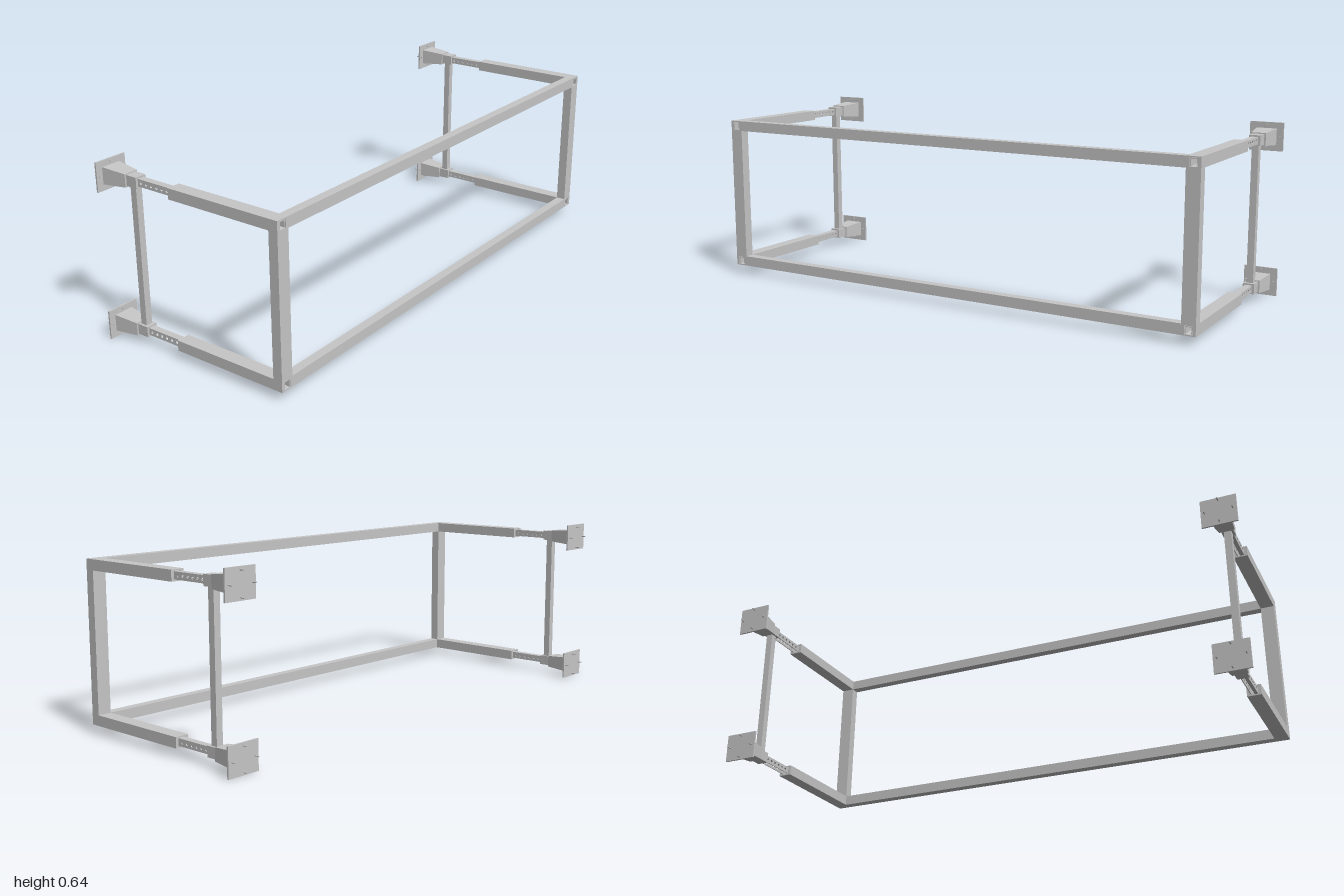
import * as THREE from 'three';

const steel = new THREE.MeshStandardMaterial({ color: 0xc7c7c7 });
steel.name = 'lightGreySteel';

const ARM_X = 0.938, LOW_Y = 0.0535, HIGH_Y = 0.591;
const TUBE_W = 0.05, TUBE_H = 0.038;

function add(parent, name, geometry, x = 0, y = 0, z = 0) {
  const mesh = new THREE.Mesh(geometry, steel);
  mesh.name = name;
  mesh.position.set(x, y, z);
  parent.add(mesh);
  return mesh;
}

const box = (w, h, d) => new THREE.BoxGeometry(w, h, d);

function rectangle(path, w, h) {
  path.moveTo(-w / 2, -h / 2);
  path.lineTo(w / 2, -h / 2);
  path.lineTo(w / 2, h / 2);
  path.lineTo(-w / 2, h / 2);
  path.closePath();
  return path;
}

// Hollow rectangular tube running along z from zBack to zFront
function hollowTube(w, h, innerW, innerH, zBack, zFront) {
  const shape = rectangle(new THREE.Shape(), w, h);
  shape.holes.push(rectangle(new THREE.Path(), innerW, innerH));
  const geometry = new THREE.ExtrudeGeometry(shape, { depth: zFront - zBack, bevelEnabled: false });
  return geometry.translate(0, 0, zBack);
}

// Side wall of the sliding channel, pierced by the adjustment holes
function piercedWall(zBack, zFront, h, thickness) {
  const shape = rectangle(new THREE.Shape(), zFront - zBack, h);
  const mid = (zBack + zFront) / 2;
  for (let i = 0; i < 6; i++) {
    const hole = new THREE.Path();
    hole.absarc(mid - (-0.087 - i * 0.0233), 0, 0.0052, 0, Math.PI * 2, true);
    shape.holes.push(hole);
  }
  const geometry = new THREE.ExtrudeGeometry(shape, { depth: thickness, bevelEnabled: false, curveSegments: 8 });
  return geometry.translate(0, 0, -thickness / 2).rotateY(Math.PI / 2).translate(0, 0, mid);
}

// Box whose back end is widened into a flare
function flare(frontW, frontH, backW, backH, depth) {
  const geometry = box(1, 1, depth);
  const p = geometry.attributes.position;
  for (let i = 0; i < p.count; i++) {
    const front = p.getZ(i) > 0;
    p.setX(i, p.getX(i) * (front ? frontW : backW));
    p.setY(i, p.getY(i) * (front ? frontH : backH));
  }
  geometry.computeVertexNormals();
  return geometry;
}

// One telescopic arm with its wall mount, centred on its own axis
function createArm() {
  const arm = new THREE.Group();
  arm.name = 'telescopicArm';
  add(arm, 'outerTube', hollowTube(TUBE_W, TUBE_H, 0.028, 0.029, -0.07, 0.378));

  // Sliding channel, open below, with a row of holes in each side
  const back = -0.225, front = 0.376, mid = (back + front) / 2;
  for (const s of [-1, 1]) {
    add(arm, 'slidingChannelSide', piercedWall(back, front, 0.026, 0.003), s * 0.011);
  }
  add(arm, 'slidingChannelTop', box(0.019, 0.003, front - back), 0, 0.0115, mid);

  // Sleeve, flared socket and wall plate
  add(arm, 'sleeve', box(0.042, TUBE_H, 0.046), 0, 0, -0.24);
  add(arm, 'flaredSocket', flare(0.054, 0.046, 0.074, 0.06, 0.095), 0, 0, -0.3085);
  add(arm, 'wallPlate', box(0.124, 0.104, 0.006), 0, 0, -0.358);

  // Four bolts, one at each edge of the plate
  for (const [x, y] of [[0.048, 0], [-0.048, 0], [0, 0.042], [0, -0.042]]) {
    add(arm, 'boltShank', new THREE.CylinderGeometry(0.0025, 0.0025, 0.026, 8).rotateX(Math.PI / 2), x, y, -0.365);
    add(arm, 'boltHead', new THREE.CylinderGeometry(0.004, 0.004, 0.004, 6).rotateX(Math.PI / 2), x, y, -0.353);
  }
  return arm;
}

export function createModel() {
  const model = new THREE.Group();
  model.name = 'wallFrame';
  const midY = (LOW_Y + HIGH_Y) / 2;
  const gap = HIGH_Y - LOW_Y - TUBE_H;

  // Long front rails
  for (const y of [LOW_Y, HIGH_Y]) {
    add(model, 'frontRail', box(2 * ARM_X - TUBE_W, TUBE_H, 0.034), 0, y, 0.361);
  }

  for (const side of [-1, 1]) {
    // Front posts and slimmer rear uprights
    add(model, 'frontPost', box(TUBE_W, gap, 0.035), side * ARM_X, midY, 0.3605);
    add(model, 'rearUpright', box(0.025, gap, 0.025), side * ARM_X, midY, -0.241);

    for (const y of [LOW_Y, HIGH_Y]) {
      const arm = createArm();
      arm.position.set(side * ARM_X, y, 0);
      model.add(arm);
    }
  }
  return model;
}
